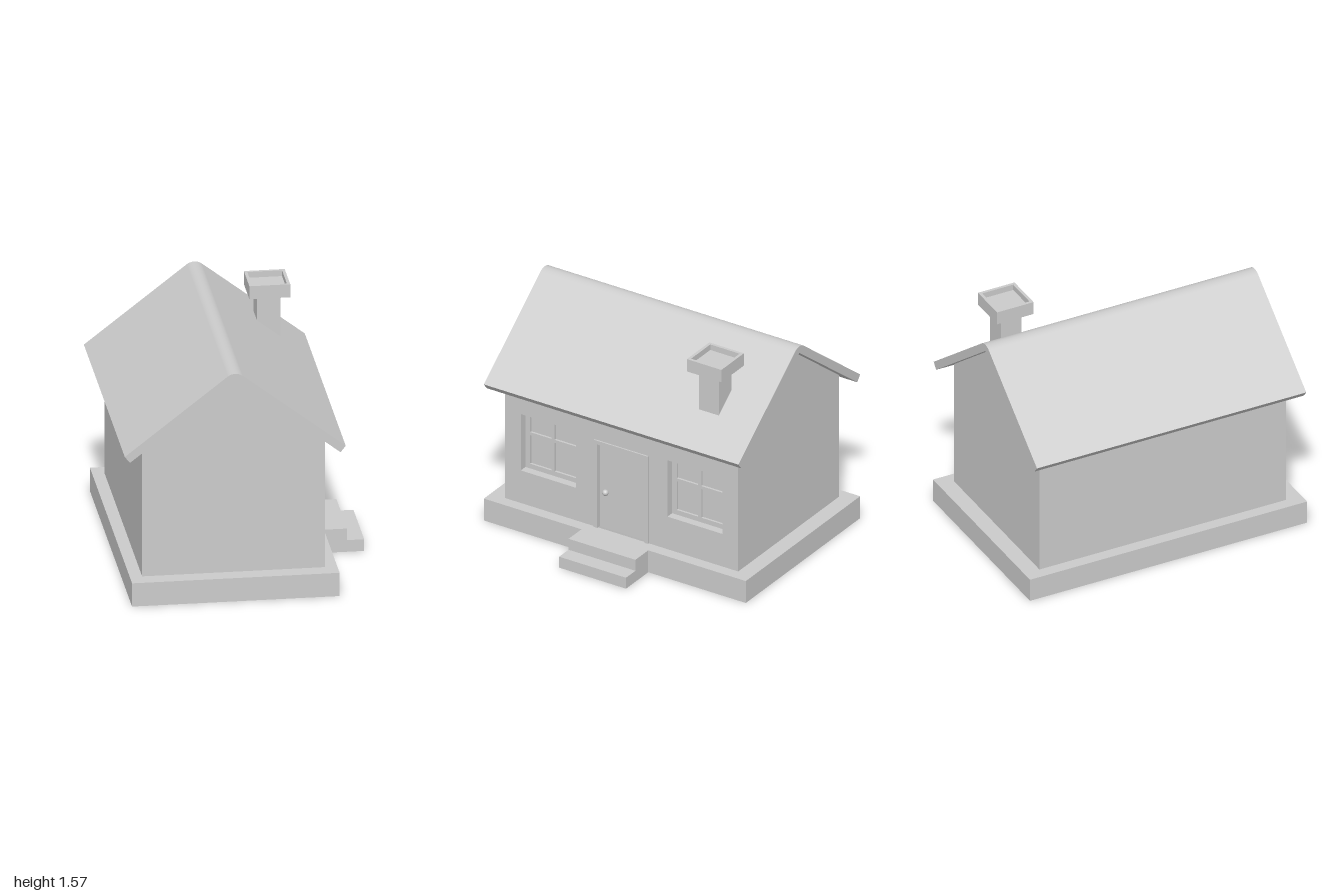
import * as THREE from 'three';

const MAT = new THREE.MeshStandardMaterial({ color: 0xcccccc, side: THREE.DoubleSide });
const CX = -0.11;                                   // ridge line of the house
const WALL = { x: 0.59, z: 0.89, base: 0.16, top: 1.05, peak: 1.51 };
const SLOPE = (WALL.peak - WALL.top) / WALL.x;

function add(parent, name, geometry, x = 0, y = 0, z = 0) {
  const mesh = new THREE.Mesh(geometry, MAT);
  mesh.name = name;
  mesh.position.set(x, y, z);
  parent.add(mesh);
  return mesh;
}

function poly(points, Type = THREE.Shape) {
  return new Type(points.map(([x, y]) => new THREE.Vector2(x, y)));
}

function rect(x0, y0, x1, y1, Type) {
  return poly([[x0, y0], [x1, y0], [x1, y1], [x0, y1]], Type);
}

function extrude(shape, depth) {
  return new THREE.ExtrudeGeometry(shape, { depth, bevelEnabled: false });
}

// four open sides of a box, height along y
function sleeve(w, h, d) {
  const g = new THREE.CylinderGeometry(Math.SQRT1_2, Math.SQRT1_2, 1, 4, 1, true);
  g.rotateY(Math.PI / 4).scale(w, h, d);
  const flat = g.toNonIndexed();
  flat.computeVertexNormals();
  return flat;
}

// recessed four-pane window; local z = 0 is the wall face, +z points outside
function makeWindow() {
  const g = new THREE.Group();
  g.name = 'window';
  const w = 0.21, h = 0.206, inset = 0.055;
  add(g, 'windowReveal', sleeve(2 * w, inset, 2 * h).rotateX(Math.PI / 2), 0, 0, -inset / 2);
  const frame = rect(-w, -h, w, h);
  for (const [x0, x1] of [[-0.175, -0.012], [0.012, 0.175]]) {
    for (const [y0, y1] of [[-0.172, 0.037], [0.059, 0.171]]) {
      frame.holes.push(rect(x0, y0, x1, y1, THREE.Path));
    }
  }
  add(g, 'windowFrame', extrude(frame, 0.03), 0, 0, -inset - 0.03);
  add(g, 'windowGlass', new THREE.PlaneGeometry(2 * w, 2 * h), 0, 0, -inset - 0.015);
  return g;
}

function makeFoundation() {
  const g = new THREE.Group();
  g.name = 'foundation';
  add(g, 'foundationSides', sleeve(1.34, 0.16, 2), CX, 0.08, 0);
  const ring = rect(-0.67, -1, 0.67, 1);
  ring.holes.push(rect(-WALL.x, -WALL.z, WALL.x, WALL.z, THREE.Path));
  add(g, 'foundationTop', new THREE.ShapeGeometry(ring).rotateX(-Math.PI / 2), CX, 0.16, 0);
  add(g, 'upperStep', new THREE.BoxGeometry(0.15, 0.16, 0.51), 0.635, 0.08, 0);
  add(g, 'lowerStep', new THREE.BoxGeometry(0.11, 0.08, 0.51), 0.765, 0.04, 0);
  return g;
}

function makeWalls() {
  const g = new THREE.Group();
  g.name = 'walls';
  const { x, z, base, top, peak } = WALL;

  // gable ends
  const gable = poly([[-x, base], [x, base], [x, top], [0, peak], [-x, top]]);
  add(g, 'frontGable', new THREE.ShapeGeometry(gable), CX, 0, z);
  add(g, 'backGable', new THREE.ShapeGeometry(gable), CX, 0, -z).rotation.y = Math.PI;

  // plain long wall
  add(g, 'plainWall', new THREE.ShapeGeometry(rect(-z, base, z, top)), CX - x, 0, 0)
    .rotation.y = -Math.PI / 2;

  // long wall with the doorway and window openings
  const entry = poly([[-z, base], [-0.18, base], [-0.18, 0.77], [0.18, 0.77],
    [0.18, base], [z, base], [z, top], [-z, top]]);
  for (const c of [-0.56, 0.56]) {
    entry.holes.push(rect(c - 0.21, 0.398, c + 0.21, 0.81, THREE.Path));
  }
  add(g, 'entryWall', new THREE.ShapeGeometry(entry), CX + x, 0, 0).rotation.y = Math.PI / 2;

  // windows on both long walls
  for (const side of [-1, 1]) {
    for (const c of [-0.56, 0.56]) {
      const win = makeWindow();
      win.position.set(CX + side * x, 0.604, c);
      win.rotation.y = side * Math.PI / 2;
      g.add(win);
    }
  }
  return g;
}

function makeDoor() {
  const g = new THREE.Group();
  g.name = 'door';
  const b = WALL.base;
  const frame = poly([[-0.207, b], [-0.18, b], [-0.18, 0.77], [0.18, 0.77], [0.18, b],
    [0.207, b], [0.207, 0.797], [-0.207, 0.797]]);
  add(g, 'doorFrame', extrude(frame, 0.04), 0, 0, -0.03);
  add(g, 'doorPanel', new THREE.BoxGeometry(0.36, 0.61, 0.02), 0, b + 0.305, -0.03);
  add(g, 'doorKnob', new THREE.SphereGeometry(0.021, 20, 14), -0.125, 0.43, 0);
  g.position.x = CX + WALL.x;
  g.rotation.y = Math.PI / 2;
  return g;
}

// pitched slab with a rounded ridge
function makeRoof() {
  const angle = Math.atan(SLOPE), r = 0.08, t = 0.054;
  const apex = WALL.peak + t / Math.cos(angle);
  const cy = apex - r / Math.cos(angle);
  const low = 0.68, lowY = WALL.peak - low * SLOPE;
  const dx = t * Math.sin(angle), dy = t * Math.cos(angle);
  const s = new THREE.Shape();
  s.moveTo(0, WALL.peak);
  s.lineTo(-low, lowY);
  s.lineTo(-low - dx, lowY + dy);
  s.lineTo(-r * Math.sin(angle), cy + r * Math.cos(angle));
  s.absarc(0, cy, r, Math.PI / 2 + angle, Math.PI / 2 - angle, true);
  s.lineTo(low + dx, lowY + dy);
  s.lineTo(low, lowY);
  s.closePath();
  return add(new THREE.Group(), 'roof', extrude(s, 1.944), CX, 0, -0.972);
}

function makeChimney() {
  const g = new THREE.Group();
  g.name = 'chimney';
  // shaft foot follows the roof pitch
  const foot = (x) => WALL.peak + 0.02 - (x - CX) * SLOPE;
  const shaft = poly([[0.234, foot(0.234)], [0.385, foot(0.385)], [0.385, 1.49], [0.234, 1.49]]);
  add(g, 'chimneyShaft', extrude(shaft, 0.15), 0, 0, -0.68);
  // hollow cap on a solid plate
  const rim = rect(-0.132, -0.132, 0.132, 0.132);
  rim.holes.push(rect(-0.112, -0.112, 0.112, 0.112, THREE.Path));
  add(g, 'chimneyCapRim', extrude(rim, 0.04).rotateX(-Math.PI / 2), 0.31, 1.529, -0.605);
  add(g, 'chimneyCapPlate', new THREE.BoxGeometry(0.264, 0.05, 0.264), 0.31, 1.504, -0.605);
  return g;
}

export function createModel() {
  const model = new THREE.Group();
  model.name = 'house';
  model.add(makeFoundation(), makeWalls(), makeDoor(), makeRoof(), makeChimney());
  return model;
}
